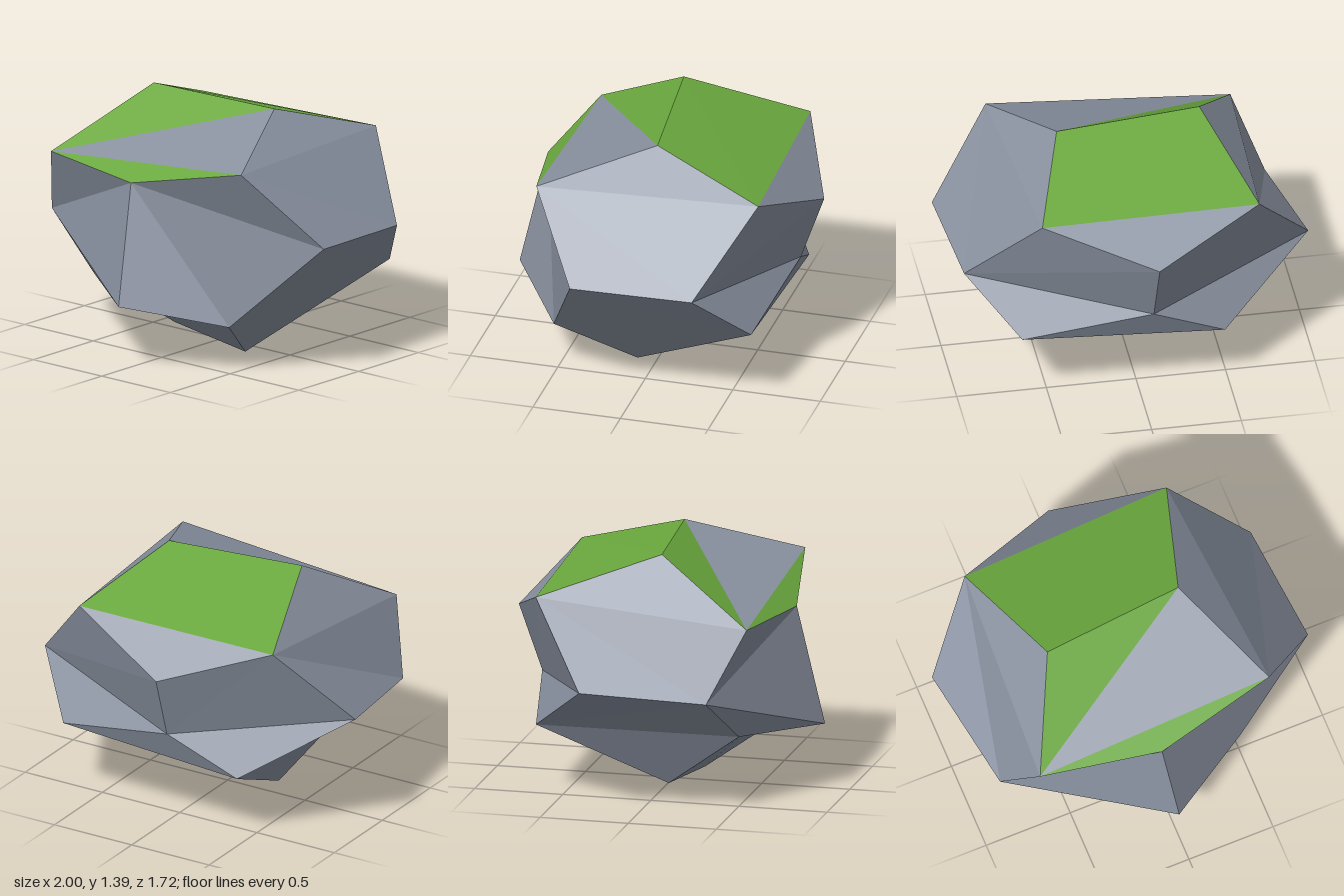
import * as THREE from 'three';

// Irregular twelve-sided boulder: 20 shifted corners of a dodecahedron
const corners = [
  [-0.47, 0.38, -0.66], [-0.5, 0.395, 0.5], [-0.67, 1.16, -0.61], [-0.72, 1.065, 0.6],
  [0.66, 0.44, -0.65], [0.51, 0.27, 0.52], [0.55, 1.18, -0.66], [0.65, 1.18, 0.58],
  [-0.06, 0.58, -0.73], [0, 0.365, 0.86], [-0.07, 0.95, -0.86], [-0.04, 1.035, 0.71],
  [-0.3, 0.05, 0.05], [-0.45, 1.39, 0.05], [0.27, 0, 0.11], [0.36, 1.375, -0.03],
  [-1, 0.72, -0.28], [0.94, 0.74, -0.39], [-0.88, 0.67, 0.41], [1, 0.76, 0.29],
];

// Five-cornered faces, each split as a fan from its first corner;
// moss lists which triangles of the fan are overgrown
const faces = [
  { loop: [3, 11, 7, 15, 13], moss: [0, 2] },
  { loop: [6, 10, 2, 13, 15], moss: [1, 2] },
  { loop: [7, 19, 17, 6, 15] },
  { loop: [17, 4, 8, 10, 6] },
  { loop: [8, 0, 16, 2, 10] },
  { loop: [0, 12, 1, 18, 16] },
  { loop: [2, 16, 18, 3, 13] },
  { loop: [18, 1, 9, 11, 3] },
  { loop: [4, 14, 12, 0, 8] },
  { loop: [11, 9, 5, 19, 7] },
  { loop: [19, 5, 14, 4, 17] },
  { loop: [1, 12, 14, 5, 9] },
];

function facetMesh(name, color, positions) {
  const geometry = new THREE.BufferGeometry();
  geometry.setAttribute('position', new THREE.Float32BufferAttribute(positions, 3));
  geometry.computeVertexNormals();
  const mesh = new THREE.Mesh(geometry, new THREE.MeshStandardMaterial({ color, flatShading: true }));
  mesh.name = name;
  return mesh;
}

export function createModel() {
  const stone = [];
  const mossy = [];
  for (const { loop, moss = [] } of faces) {
    for (let i = 0; i < 3; i++) {
      const target = moss.includes(i) ? mossy : stone;
      for (const c of [loop[0], loop[i + 1], loop[i + 2]]) target.push(...corners[c]);
    }
  }

  const group = new THREE.Group();
  group.name = 'mossyRock';
  group.add(facetMesh('stone', 0x8a92a1, stone), facetMesh('moss', 0x6aa83e, mossy));
  return group;
}
